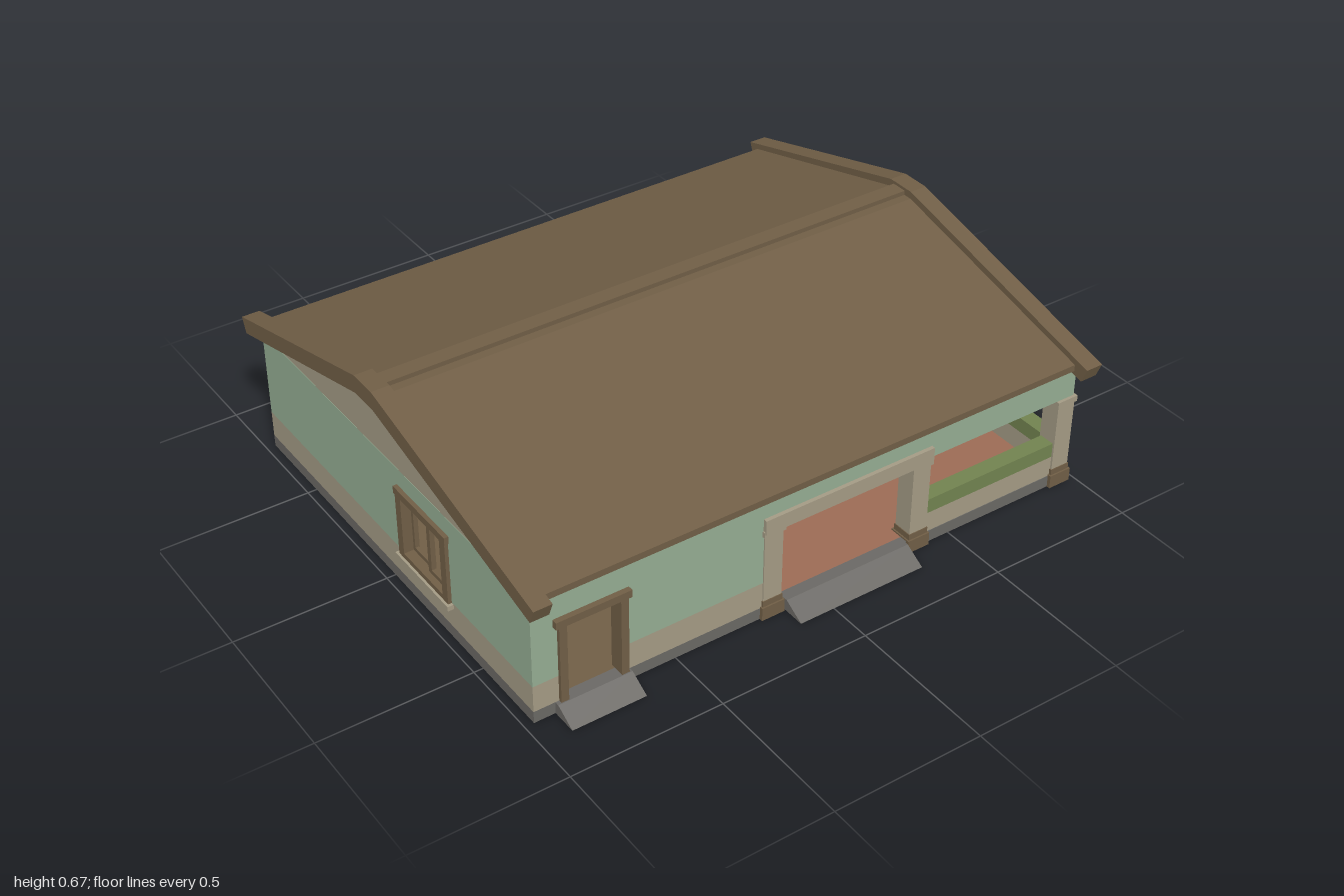
import * as THREE from 'three';

const mat = (name, color) => {
  const m = new THREE.MeshStandardMaterial({ color });
  m.name = name;
  return m;
};

export function createModel() {
  const green = mat('green wall', 0x94ac92);
  const beige = mat('beige plaster', 0xa39a84);
  const wood = mat('brown wood', 0x705e46);
  const stone = mat('grey stone', 0x6a6864);
  const terracotta = mat('terracotta floor', 0x9c6b55);
  const olive = mat('olive ledge', 0x71824f);
  const glass = mat('door glass', 0x6d7073);

  const house = new THREE.Group();
  house.name = 'house';

  const group = (name, x = 0, y = 0, z = 0, turn = 0) => {
    const g = new THREE.Group();
    g.name = name;
    g.position.set(x, y, z);
    g.rotation.y = turn;
    house.add(g);
    return g;
  };

  // Box given by its extents on each axis
  const box = (parent, name, m, x0, x1, y0, y1, z0, z1) => {
    const mesh = new THREE.Mesh(new THREE.BoxGeometry(x1 - x0, y1 - y0, z1 - z0), m);
    mesh.position.set((x0 + x1) / 2, (y0 + y1) / 2, (z0 + z1) / 2);
    mesh.name = name;
    parent.add(mesh);
    return mesh;
  };

  // Profile in (z, y), extruded along x
  const slab = (name, m, profile, x0, x1) => {
    const shape = new THREE.Shape(profile.map(([z, y]) => new THREE.Vector2(-z, y)));
    const geo = new THREE.ExtrudeGeometry(shape, { depth: x1 - x0, bevelEnabled: false });
    geo.rotateY(Math.PI / 2);
    geo.translate(x0, 0, 0);
    const mesh = new THREE.Mesh(geo, m);
    mesh.name = name;
    house.add(mesh);
  };

  // One coloured band of a wall, cut around openings [x0, x1, y0, y1]
  const band = (g, name, m, a0, a1, y0, y1, z0, z1, openings) => {
    const cuts = [a0, a1, ...openings.flatMap(o => [o[0], o[1]])]
      .filter(c => c >= a0 && c <= a1).sort((a, b) => a - b);
    for (let i = 0; i < cuts.length - 1; i++) {
      const l = cuts[i], r = cuts[i + 1], mid = (l + r) / 2;
      if (r - l < 1e-4) continue;
      const hole = openings.find(o => mid > o[0] && mid < o[1]);
      const spans = hole ? [[y0, Math.min(y1, hole[2])], [Math.max(y0, hole[3]), y1]] : [[y0, y1]];
      for (const [b, t] of spans) if (t - b > 1e-4) box(g, name, m, l, r, b, t, z0, z1);
    }
  };

  // Wall in its own frame: outside face at z = 0, looking along +z
  const wall = (g, a0, a1, openings, base = 0) => {
    band(g, 'foundation', stone, a0, a1, base, 0.04, -0.025, 0, openings);
    band(g, 'plinth', beige, a0, a1, 0.04, 0.13, -0.025, 0, openings);
    band(g, 'wallFace', green, a0, a1, 0.13, 0.43, -0.025, 0, openings);
    band(g, 'wallLining', beige, a0 + 0.02, a1 - 0.02, 0.04, 0.43, -0.035, -0.025, openings);
  };

  // Two-sash window centred at c
  const windowHole = c => [c - 0.12, c + 0.12, 0.14, 0.35];
  const windowFrame = (g, c) => {
    for (const s of [-1, 1]) {
      box(g, 'windowJamb', wood, c + s * 0.125 - 0.015, c + s * 0.125 + 0.015, 0.13, 0.36, -0.04, 0.012);
      const m = c + s * 0.058, z = s * 0.006 - 0.02;
      for (const e of [-1, 1]) {
        box(g, 'sashStile', wood, m + e * 0.05 - 0.009, m + e * 0.05 + 0.009, 0.14, 0.35, z - 0.006, z + 0.006);
        box(g, 'sashRail', wood, m - 0.05, m + 0.05, 0.245 + e * 0.095 - 0.009, 0.245 + e * 0.095 + 0.009, z - 0.006, z + 0.006);
      }
    }
    box(g, 'windowHead', wood, c - 0.145, c + 0.145, 0.345, 0.37, -0.04, 0.014);
    box(g, 'windowBottom', wood, c - 0.14, c + 0.14, 0.128, 0.145, -0.04, 0.012);
    box(g, 'windowSill', beige, c - 0.15, c + 0.15, 0.112, 0.128, -0.02, 0.02);
  };

  // Door frame around the opening x0..x1
  const doorFrame = (g, x0, x1) => {
    box(g, 'doorJamb', wood, x0 - 0.022, x0 + 0.003, 0.04, 0.315, -0.04, 0.012);
    box(g, 'doorJamb', wood, x1 - 0.003, x1 + 0.022, 0.04, 0.315, -0.04, 0.012);
    box(g, 'doorHead', wood, x0 - 0.035, x1 + 0.03, 0.31, 0.335, -0.04, 0.018);
  };

  // Outer walls
  const front = group('frontWall', 0, 0, 0.77);
  wall(front, -0.97, 0.97, [[-0.865, -0.685, 0.04, 0.31], [-0.15, 0.355, 0.04, 0.32], [0.355, 0.94, 0.04, 0.32]]);
  doorFrame(front, -0.865, -0.685);

  const back = group('backWall', 0, 0, -0.78, Math.PI);
  wall(back, -0.97, 0.97, [windowHole(-0.39), windowHole(0.39)]);
  windowFrame(back, -0.39);
  windowFrame(back, 0.39);

  const left = group('leftSideWall', 0.97, 0, 0, Math.PI / 2);
  wall(left, -0.77, 0.78, [[-0.74, -0.03, 0.04, 0.32]]);

  const right = group('rightSideWall', -0.97, 0, 0, -Math.PI / 2);
  wall(right, -0.78, 0.77, [windowHole(0.2)]);
  windowFrame(right, 0.2);

  // Walls behind and beside the porch
  const porchBack = group('porchBackWall', 0, 0, -0.02);
  wall(porchBack, -0.175, 0.945, [[-0.09, 0.085, 0.04, 0.31]], 0.02);
  doorFrame(porchBack, -0.09, 0.085);
  box(porchBack, 'doorPanel', glass, -0.09, 0.085, 0.04, 0.31, -0.022, -0.014);
  const porchSide = group('porchSideWall', -0.15, 0, 0, Math.PI / 2);
  wall(porchSide, -0.745, 0.02, [], 0.02);

  // Floors, ceiling and inner partition
  box(house, 'mainFloorFront', wood, -0.945, -0.15, 0.015, 0.04, -0.03, 0.745);
  box(house, 'mainFloorBack', wood, -0.945, 0.58, 0.015, 0.04, -0.755, -0.03);
  box(house, 'backRoomFloor', stone, 0.58, 0.945, 0.015, 0.04, -0.755, -0.03);
  box(house, 'porchFloor', terracotta, -0.15, 0.945, 0.015, 0.04, -0.03, 0.745);
  box(house, 'partition', beige, 0.57, 0.59, 0.035, 0.42, -0.75, -0.05);
  box(house, 'ceiling', beige, -0.945, 0.945, 0.42, 0.428, -0.755, 0.745);

  // Porch parapets with olive ledges
  const parapet = (name, x0, x1, z0, z1) => {
    const g = group(name);
    box(g, 'parapetBase', beige, x0, x1, 0.035, 0.11, z0, z1);
    box(g, 'parapetLedge', olive, x0, x1, 0.11, 0.16, z0, z1);
  };
  parapet('frontParapet', 0.38, 0.935, 0.715, 0.768);
  parapet('sideParapet', 0.915, 0.968, 0.03, 0.74);

  // Porch columns
  for (const [x, z] of [[-0.165, 0.742], [0.375, 0.742], [0.94, 0.742], [0.94, 0.025]]) {
    const g = group('porchColumn', x, 0, z);
    box(g, 'columnBase', wood, -0.04, 0.04, 0, 0.045, -0.04, 0.04);
    box(g, 'columnFoot', wood, -0.035, 0.035, 0.045, 0.065, -0.035, 0.035);
    box(g, 'columnShaft', beige, -0.0325, 0.0325, 0.06, 0.3, -0.0325, 0.0325);
    box(g, 'columnCapital', beige, -0.038, 0.038, 0.3, 0.32, -0.038, 0.038);
  }
  box(house, 'porchLintel', beige, -0.2, 0.41, 0.312, 0.362, 0.73, 0.783);

  // Entrance ramps
  const ramp = [[0.765, 0], [0.855, 0], [0.785, 0.04], [0.765, 0.04]];
  slab('sideRamp', stone, ramp, -0.9, -0.655);
  slab('porchRamp', stone, ramp, -0.12, 0.33);

  // Gables
  const gable = [[0.77, 0.43], [0, 0.615], [-0.1, 0.615], [-0.78, 0.43]];
  slab('rightGable', beige, gable, -0.969, -0.94);
  slab('leftGable', beige, gable, 0.94, 0.969);

  // Roof, ridge cap and barge boards
  slab('roof', wood, [[0.79, 0.43], [0.79, 0.452], [0, 0.645], [-0.1, 0.645], [-0.81, 0.452],
    [-0.81, 0.43], [-0.1, 0.615], [0, 0.615]], -0.95, 0.95);
  box(house, 'ridgeCap', wood, -0.945, 0.945, 0.63, 0.66, -0.085, -0.03);
  const barge = [[0.842, 0.46], [0, 0.67], [-0.1, 0.67], [-0.852, 0.46],
    [-0.832, 0.41], [-0.1, 0.61], [0, 0.61], [0.822, 0.41]];
  slab('rightBargeBoard', wood, barge, -1, -0.94);
  slab('leftBargeBoard', wood, barge, 0.94, 1);

  return house;
}
